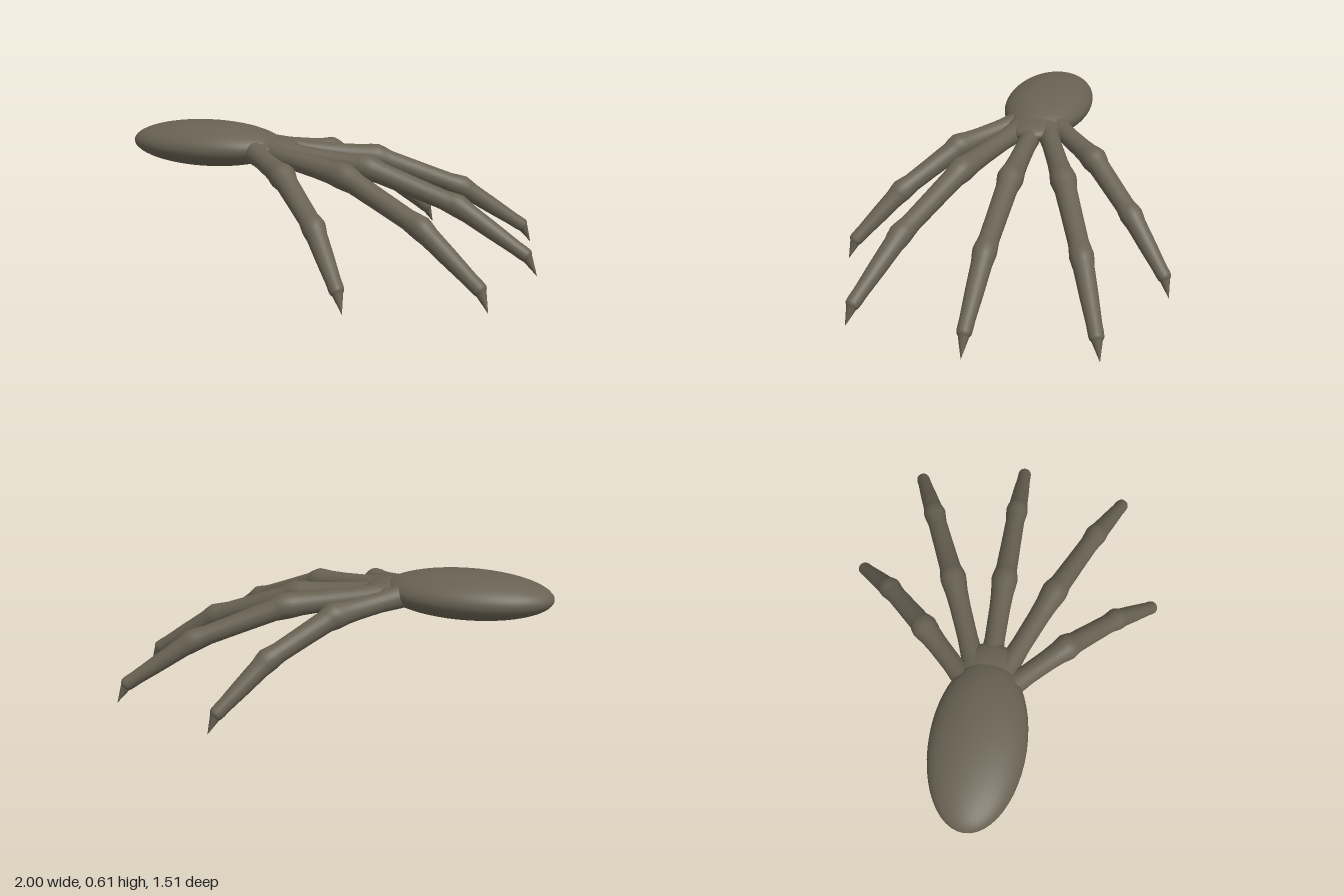
import * as THREE from 'three';

const V = (x, y, z) => new THREE.Vector3(x, y, z);

// Round skin lofted through stations { p, r }; the path stays in one vertical plane
function loft(stations, sides = 24) {
  const pos = [], index = [];
  const first = stations[0].p, last = stations[stations.length - 1].p;
  const side = V(first.z - last.z, 0, last.x - first.x).normalize();
  stations.forEach(({ p, r }, i) => {
    const a = stations[Math.max(i - 1, 0)].p;
    const b = stations[Math.min(i + 1, stations.length - 1)].p;
    const up = side.clone().cross(b.clone().sub(a).normalize()).normalize();
    for (let j = 0; j < sides; j++) {
      const t = (j / sides) * Math.PI * 2;
      const q = p.clone().addScaledVector(side, r * Math.cos(t)).addScaledVector(up, r * Math.sin(t));
      pos.push(q.x, q.y, q.z);
      if (i > 0) {
        const k = (j + 1) % sides, lo = (i - 1) * sides, hi = i * sides;
        index.push(lo + j, hi + j, lo + k, lo + k, hi + j, hi + k);
      }
    }
  });
  const g = new THREE.BufferGeometry();
  g.setAttribute('position', new THREE.Float32BufferAttribute(pos, 3));
  g.setIndex(index);
  g.computeVertexNormals();
  return g;
}

// Finger path: root, two knuckles, end joint; radii swell at each knuckle
function fingerStations(joints) {
  const shape = [
    [[0, 0.062], [0.25, 0.054], [0.5, 0.046], [0.75, 0.048], [0.88, 0.052], [0.95, 0.058]],
    [[0, 0.061], [0.06, 0.057], [0.14, 0.050], [0.5, 0.047], [0.84, 0.045], [0.94, 0.050]],
    [[0, 0.053], [0.07, 0.050], [0.16, 0.045], [0.5, 0.040], [0.85, 0.033], [0.95, 0.033]],
  ];
  const out = [];
  shape.forEach((rings, s) => rings.forEach(([t, r]) =>
    out.push({ p: joints[s].clone().lerp(joints[s + 1], t), r })));
  // Rounded fingertip
  const end = joints[3], dir = end.clone().sub(joints[2]).normalize();
  for (let i = 0; i <= 5; i++) {
    const a = (i / 5) * Math.PI / 2;
    out.push({ p: end.clone().addScaledVector(dir, 0.024 * Math.sin(a)), r: Math.max(0.032 * Math.cos(a), 0.0005) });
  }
  return out;
}

function makeFinger(name, points, material) {
  const joints = points.map(p => V(...p));
  const finger = new THREE.Group();
  finger.name = name;

  const skin = new THREE.Mesh(loft(fingerStations(joints.slice(0, 4))), material);
  skin.name = name + 'Skin';

  // Pointed claw from the end joint to the ground
  const from = joints[3], tip = joints[4];
  const dir = tip.clone().sub(from), length = dir.length();
  const claw = new THREE.Mesh(new THREE.ConeGeometry(0.028, length, 16), material);
  claw.name = name + 'Claw';
  claw.position.copy(from).add(tip).multiplyScalar(0.5);
  claw.quaternion.setFromUnitVectors(V(0, 1, 0), dir.normalize());

  finger.add(skin, claw);
  return finger;
}

function makeEllipsoid(name, radii, center, material) {
  const mesh = new THREE.Mesh(new THREE.SphereGeometry(1, 48, 32), material);
  mesh.name = name;
  mesh.scale.set(...radii);
  mesh.position.set(...center);
  return mesh;
}

export function createModel() {
  const hide = new THREE.MeshStandardMaterial({ color: 0x696253 });
  hide.name = 'dull brown hide';
  const model = new THREE.Group();
  model.name = 'clawedHand';

  // Flattened oval palm, and the web that joins the finger roots to it
  model.add(makeEllipsoid('palm', [0.39, 0.107, 0.215], [-0.61, 0.507, 0], hide));
  model.add(makeEllipsoid('fingerWeb', [0.16, 0.054, 0.135], [-0.3, 0.502, 0], hide));

  // Fan of five fingers: one middle and two mirrored pairs
  const middle = [[-0.42, 0.51, 0], [0.2, 0.44, 0], [0.63, 0.295, 0], [0.945, 0.095, 0], [1, 0, 0]];
  const inner = [[-0.42, 0.51, 0.005], [0.17, 0.445, 0.238], [0.56, 0.29, 0.40], [0.842, 0.09, 0.52], [0.885, 0, 0.545]];
  const outer = [[-0.42, 0.515, 0.015], [-0.09, 0.445, 0.33], [0.135, 0.29, 0.545], [0.3, 0.09, 0.725], [0.333, 0, 0.755]];
  model.add(makeFinger('middleFinger', middle, hide));
  for (const s of [1, -1]) {
    const mirror = pts => pts.map(([x, y, z]) => [x, y, z * s]);
    const where = s > 0 ? 'front' : 'back';
    model.add(makeFinger(where + 'InnerFinger', mirror(inner), hide));
    model.add(makeFinger(where + 'OuterFinger', mirror(outer), hide));
  }
  return model;
}
